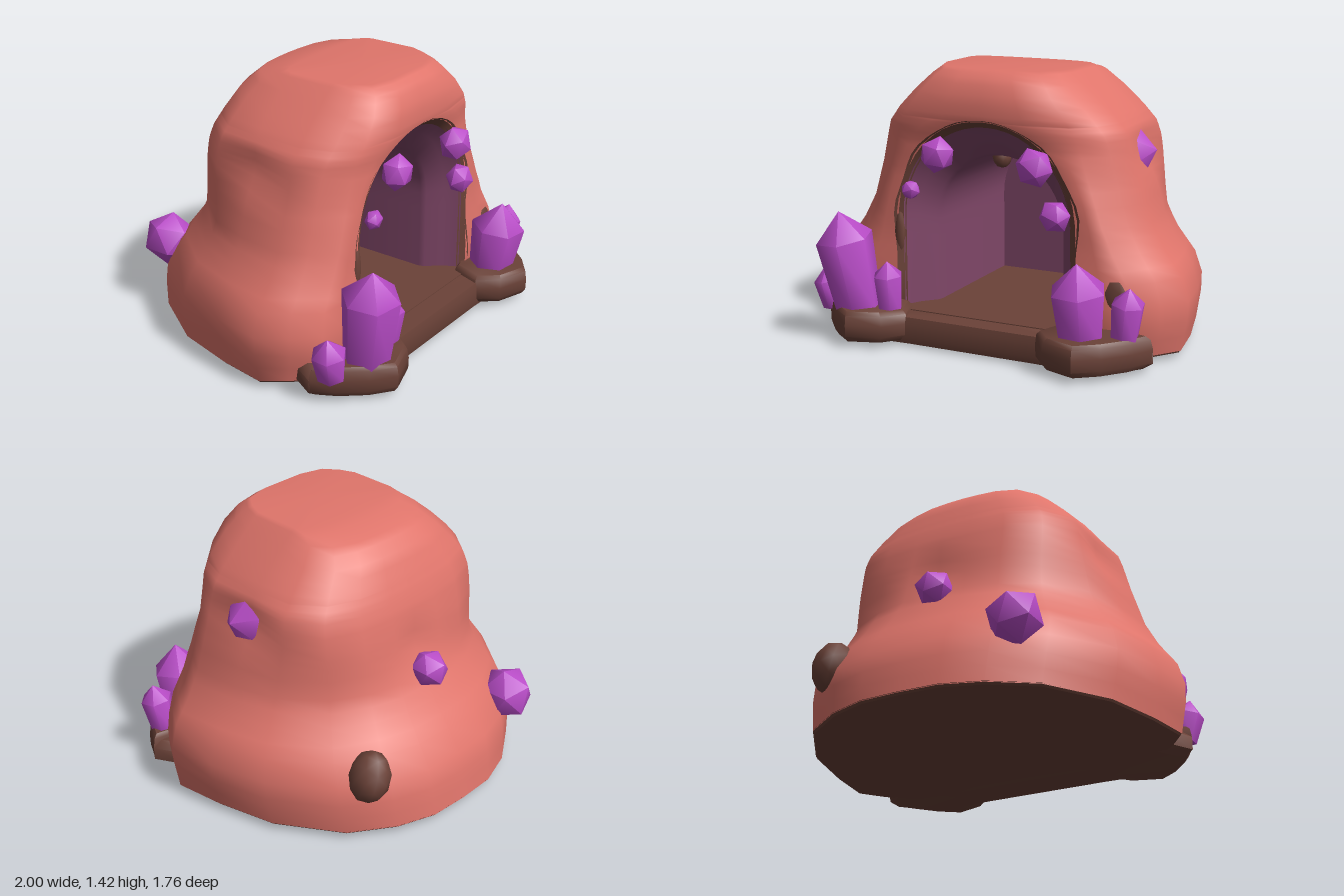
import * as THREE from 'three';
import { mergeVertices, toCreasedNormals } from 'three/addons/utils/BufferGeometryUtils.js';

const mat = (name, color) => new THREE.MeshStandardMaterial({ name, color });

// Skin rows of [x, y, z] points into a surface
function skin(rows, crease = 0) {
  const n = rows[0].length, index = [];
  for (let i = 0; i < rows.length - 1; i++) {
    for (let j = 0; j < n - 1; j++) {
      const a = i * n + j, c = a + n;
      index.push(a, a + 1, c, a + 1, c + 1, c);
    }
  }
  let g = new THREE.BufferGeometry();
  g.setAttribute('position', new THREE.Float32BufferAttribute(rows.flat(2), 3));
  g.setIndex(index);
  g = mergeVertices(g, 1e-4);
  g.computeVertexNormals();
  return crease ? toCreasedNormals(g, crease) : g;
}

// Shell profile: height, half width, front z, back z
const LAYERS = [
  [0.04, 0.965, 0.5, -0.875], [0.2, 0.995, 0.54, -0.855], [0.3, 1, 0.54, -0.83],
  [0.42, 0.965, 0.53, -0.75], [0.55, 0.87, 0.52, -0.65], [0.68, 0.8, 0.52, -0.575],
  [0.9, 0.73, 0.52, -0.53], [1.05, 0.69, 0.53, -0.49], [1.12, 0.665, 0.545, -0.465],
  [1.2, 0.595, 0.56, -0.43], [1.3, 0.49, 0.55, -0.38], [1.38, 0.4, 0.51, -0.29],
  [1.42, 0.35, 0.455, -0.08],
];
function profile(y) {
  let i = 0;
  while (i < LAYERS.length - 2 && LAYERS[i + 1][0] < y) i++;
  const a = LAYERS[i], b = LAYERS[i + 1];
  const t = THREE.MathUtils.clamp((y - a[0]) / (b[0] - a[0]), 0, 1);
  return a.map((v, k) => v + (b[k] - v) * t);
}

// Horizontal outline from the doorway edge, round the back, to the other edge;
// the back corners grow squarer with height
function plan(y, W, zf, zb, open = 0) {
  const q = THREE.MathUtils.smoothstep(y, 0.6, 1.1), mix = (a, b) => a + (b - a) * q;
  const corner = Math.max(mix(0.8, 0.74) * W, open + 0.03);
  const half = [
    [open, zf], [(open + corner) / 2, zf], [corner, zf - mix(0.01, 0.035)], [0.91 * W, zf * 0.75],
    [W, 0.26], [mix(0.96, 1) * W, 0], [mix(0.875, 0.95) * W, mix(0.37, 0.48) * zb],
    [mix(0.66, 0.77) * W, mix(0.74, 0.81) * zb], [mix(0.43, 0.5) * W, mix(0.91, 0.95) * zb], [0.22 * W, 0.99 * zb],
  ];
  const mirror = half.map(([x, z]) => [-x, z]).reverse();
  return [...half, [0, zb], ...mirror].map(([x, z]) => [x, y, z]);
}

// Doorway arch: straight sides and an elliptical head, optionally wavy
function arch(w, h, spring, z, wave = 0) {
  const pts = [], floor = 0.05;
  for (let k = 0; k < 6; k++) pts.push([w, floor + (spring - floor) * k / 6]);
  for (let k = 0; k <= 24; k++) {
    const a = Math.PI * k / 24;
    pts.push([w * Math.cos(a), spring + (h - spring) * Math.sin(a)]);
  }
  for (let k = 5; k >= 0; k--) pts.push([-w, floor + (spring - floor) * k / 6]);
  return pts.map(([x, y], k) => {
    const px = x * (1 + wave * (1 + Math.sin(k * 1.1)));
    return [px, y, typeof z === 'function' ? z(y) : z];
  });
}

const collapse = (row, p) => row.map(() => p);

export function createModel() {
  const clay = mat('red clay', 0xe0756b);
  const earth = mat('brown earth', 0x6b4238);
  const plum = mat('plum interior', 0x804768);
  const violet = mat('violet crystal', 0xba4dc9);
  const group = new THREE.Group();
  group.name = 'crystalCave';
  const add = (name, geo, material) => {
    const m = new THREE.Mesh(geo, material);
    m.name = name;
    group.add(m);
    return m;
  };

  // Clay shell with an arched doorway and shallow dents
  const heights = [0.04, 0.12, 0.2, 0.3, 0.42, 0.48, 0.55, 0.62, 0.68, 0.78, 0.85, 0.9, 0.97, 1.02, 1.05,
    1.09, 1.12, 1.14, 1.155, 1.165, 1.17, 1.2, 1.25, 1.3, 1.35, 1.38, 1.405, 1.42];
  const dents = [[0.68, 1, 0.04], [-0.68, 1, -0.02], [0, 0.82, -0.54]];
  const shellRows = heights.map((y) => {
    const [, W, zf, zb] = profile(y);
    const open = 0.5 * Math.sqrt(Math.max(0, 1 - (Math.max(0, y - 0.65) / 0.52) ** 2));
    return plan(y, W, zf, zb, open).map(([x, h, z]) => {
      let d = 0;
      for (const [dx, dy, dz] of dents) {
        d += 0.08 * Math.exp(-((x - dx) ** 2 + (h - dy) ** 2 + (z - dz) ** 2) / 0.016);
      }
      return [x * (1 - d), h, z * (1 - d)];
    });
  });
  shellRows.push(collapse(shellRows[0], [0, 1.425, 0.18]));
  add('caveShell', skin(shellRows), clay);

  // Underside and ground rim
  const foot = [plan(0.005, 0.85, 0.45, -0.76), plan(0.03, 0.955, 0.5, -0.865), plan(0.045, 0.965, 0.5, -0.876)];
  add('groundBase', skin([collapse(foot[0], [0, 0, 0]), ...foot], 0.7), earth);

  // Uneven earth rim round the doorway
  add('doorRim', skin([
    arch(0.503, 1.178, 0.65, (y) => profile(y)[2] + 0.005, 0.025),
    arch(0.465, 1.135, 0.65, 0.505),
  ]), earth);

  // Flared tunnel and back wall
  const tunnel = [
    arch(0.475, 1.15, 0.65, 0.515), arch(0.43, 1.07, 0.63, 0.43), arch(0.365, 0.98, 0.6, 0.36),
    arch(0.355, 0.965, 0.6, 0.33), arch(0.355, 0.965, 0.6, -0.4),
  ];
  tunnel.push(collapse(tunnel[0], [0, 0.05, -0.4]));
  add('tunnel', skin(tunnel, 0.6), plum);

  // Floor
  const floor = add('tunnelFloor', new THREE.BoxGeometry(0.94, 0.12, 0.99), earth);
  floor.position.set(0, 0.1, 0.08);

  // Rounded slab from a floor outline
  function slab(name, outline, levels) {
    const cx = outline.reduce((s, p) => s + p[0], 0) / outline.length;
    const cz = outline.reduce((s, p) => s + p[1], 0) / outline.length;
    const rows = levels.map(([y, s]) => [...outline, outline[0]].map(([x, z]) =>
      [cx + (x - cx) * s, y, cz + (z - cz) * s]));
    rows.unshift(collapse(rows[0], [cx, levels[0][0], cz]));
    rows.push(collapse(rows[0], [cx, levels.at(-1)[0], cz]));
    add(name, skin(rows, 0.9), earth);
  }
  const step = [[0.38, 0.7], [0.6, 0.71], [0.8, 0.67], [0.92, 0.53], [0.84, 0.38], [0.4, 0.3]];
  slab('doorStep', [...step, ...step.map(([x, z]) => [-x, z]).reverse()],
    [[0.015, 0.94], [0.05, 1], [0.12, 1], [0.155, 0.95]]);
  const rock = [[0.36, 0.69], [0.45, 0.8], [0.63, 0.86], [0.75, 0.77], [0.86, 0.64], [0.92, 0.53], [0.62, 0.46], [0.42, 0.52]];
  const rockLevels = [[0.03, 0.88], [0.06, 0.99], [0.12, 1], [0.17, 0.96], [0.19, 0.88]];
  slab('leftStepRock', rock, rockLevels);
  slab('rightStepRock', rock.map(([x, z]) => [-x, z]).reverse(), rockLevels);

  // Softly faceted crystals: base point, tip point, radius
  function crystal(name, base, tip, r, spin = 0) {
    const a = new THREE.Vector3(...base), axis = new THREE.Vector3(...tip).sub(a), h = axis.length();
    const pts = [[0, 0], [0.8 * r, 0.02 * h], [r, Math.max(0.4 * h, h - r * 0.95)], [0, h]];
    const g = toCreasedNormals(new THREE.LatheGeometry(pts.map((p) => new THREE.Vector2(...p)), 6), 1.1);
    const m = add(name, g, violet);
    m.position.copy(a);
    m.quaternion.setFromUnitVectors(new THREE.Vector3(0, 1, 0), axis.normalize());
    m.rotateY(spin);
  }
  crystal('rightTallCrystal', [-0.65, 0.15, 0.68], [-0.715, 0.69, 0.76], 0.15, 0.3);
  crystal('rightOuterCrystal', [-0.84, 0.13, 0.61], [-0.89, 0.36, 0.62], 0.09);
  crystal('rightInnerCrystal', [-0.47, 0.15, 0.67], [-0.47, 0.44, 0.7], 0.078, 0.5);
  crystal('leftTallCrystal', [0.59, 0.15, 0.65], [0.59, 0.555, 0.71], 0.145, 0.4);
  crystal('leftOuterCrystal', [0.79, 0.15, 0.59], [0.83, 0.44, 0.62], 0.085, 0.2);
  crystal('sideCrystal', [0.6, 0.985, 0.06], [0.745, 1.01, 0.06], 0.125, 0.4);

  // Rounder stones round the arch and on the walls
  function stone(name, [x, y, z], [sx, sy, sz], material, turn = 0) {
    const g = new THREE.IcosahedronGeometry(1, material === earth ? 1 : 0);
    const m = add(name, toCreasedNormals(g, 0.8), material);
    m.position.set(x, y, z);
    m.scale.set(sx, sy, sz);
    m.rotation.z = turn;
  }
  [[-0.24, 0.99, 0.57, 0.095], [0.3, 0.97, 0.57, 0.098], [-0.41, 0.79, 0.55, 0.052], [0.4, 0.73, 0.545, 0.083]]
    .forEach(([x, y, z, r], i) => stone(`archCrystal${i + 1}`, [x, y, z], [r, r * 1.05, r * 0.85], violet, x * 3));
  stone('lowerBackCrystal', [-0.53, 0.375, -0.71], [0.14, 0.15, 0.15], violet, 0.3);
  stone('upperBackCrystal', [-0.02, 0.7, -0.59], [0.1, 0.1, 0.11], violet, 0.2);
  stone('backRock', [0.51, 0.34, -0.68], [0.105, 0.14, 0.115], earth, 0.3);
  stone('sideSocket', [0.635, 0.99, 0.04], [0.035, 0.145, 0.115], earth, 0.15);
  stone('ceilingRock', [-0.02, 0.95, 0.28], [0.05, 0.06, 0.05], earth);

  // Earth patches on the wall beside the step
  stone('leftWallPatch', [0.71, 0.34, 0.51], [0.08, 0.11, 0.03], earth);
  stone('rightWallPatch', [-0.5, 0.55, 0.51], [0.03, 0.12, 0.022], earth);

  return group;
}
